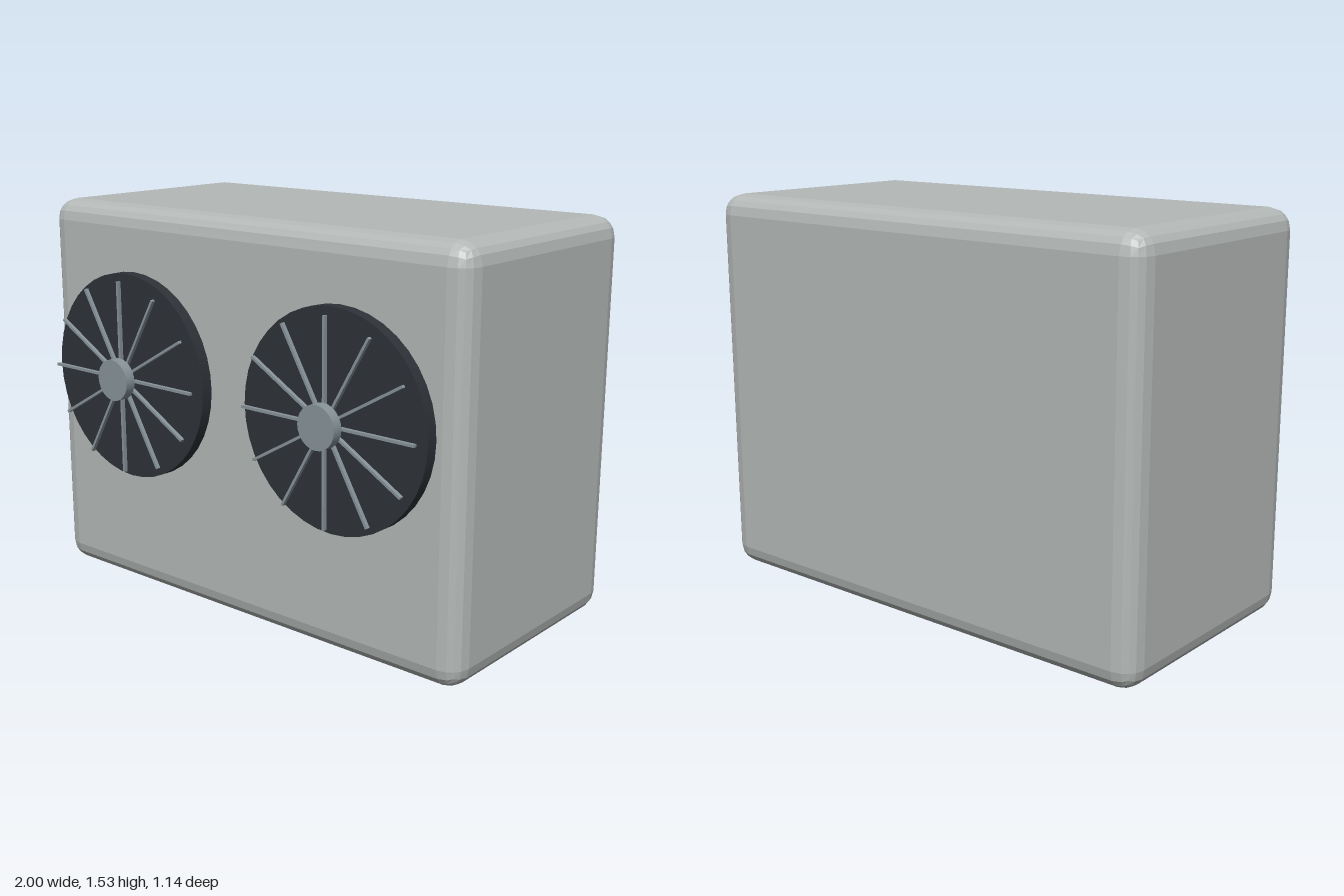
import * as THREE from 'three';
import { RoundedBoxGeometry } from 'three/addons/geometries/RoundedBoxGeometry.js';

const material = (color, flatShading = false) => new THREE.MeshStandardMaterial({ color, flatShading });

function addPart(parent, name, geometry, mat, x = 0, y = 0, z = 0) {
  const mesh = new THREE.Mesh(geometry, mat);
  mesh.name = name;
  mesh.position.set(x, y, z);
  parent.add(mesh);
  return mesh;
}

// Cylinder whose axis points to the front
const disc = (radius, depth, sides) =>
  new THREE.CylinderGeometry(radius, radius, depth, sides).rotateX(Math.PI / 2);

export function createModel() {
  const model = new THREE.Group();
  model.name = 'outdoorFanUnit';
  const casing = material(0xb4b9b7, true);
  const dark = material(0x2e3238);
  const metal = material(0x87949a);
  const rubber = material(0x1b1c20);

  // Rounded casing
  addPart(model, 'casing', new RoundedBoxGeometry(2, 1.528, 1, 2, 0.08), casing, 0, 0.766, -0.07);

  for (const side of [-1, 1]) {
    // Foot rail, flush with the underside
    addPart(model, 'footRail', new THREE.BoxGeometry(0.12, 0.08, 0.84), rubber, side * 0.84, 0.04, -0.07);

    // Fan: dark disc, radial guard bars and hub
    const fan = new THREE.Group();
    fan.name = 'fan';
    fan.position.set(side * 0.505, 0.885, 0);
    model.add(fan);
    addPart(fan, 'fanDisc', disc(0.4, 0.046, 40), dark, 0, 0, 0.463);
    for (let i = 0; i < 6; i++) {
      const bar = addPart(fan, 'guardBar', new THREE.BoxGeometry(0.75, 0.01, 0.015), metal, 0, 0, 0.523);
      bar.rotation.z = (i * Math.PI) / 6;
    }
    addPart(fan, 'hub', disc(0.08, 0.04, 24), metal, 0, 0, 0.55);
  }
  return model;
}
